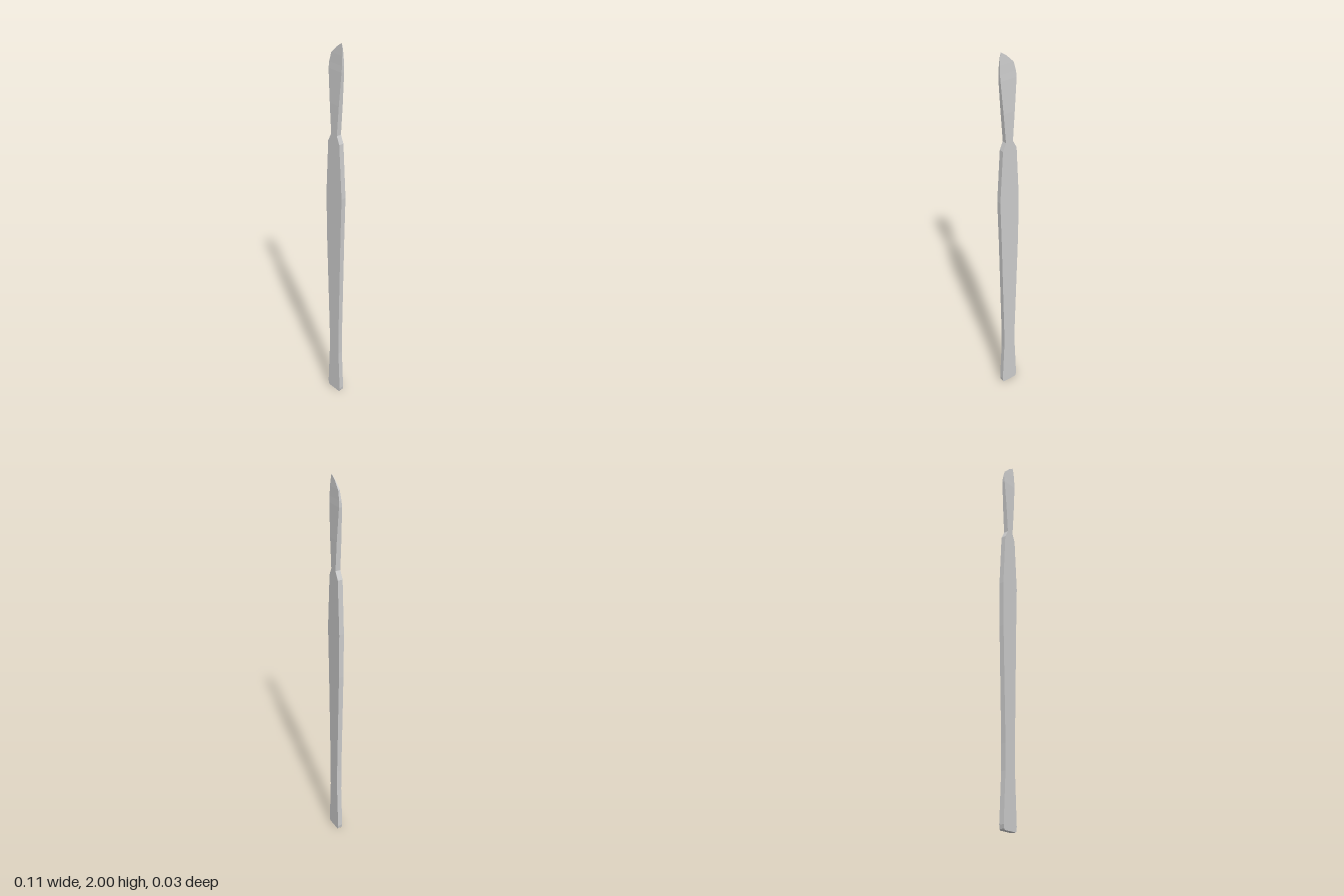
import * as THREE from 'three';

// Loft of rectangular sections: [y, left edge x, right edge x, half thickness]
function loft(name, rows, capBottom) {
  const pos = [], idx = [];
  for (const [y, x0, x1, t] of rows) pos.push(x0, y, t, x1, y, t, x1, y, -t, x0, y, -t);
  for (let i = 0; i < rows.length - 1; i++) {
    for (let j = 0; j < 4; j++) {
      const a = i * 4 + j, b = i * 4 + (j + 1) % 4;
      idx.push(a, b, b + 4, a, b + 4, a + 4);
    }
  }
  if (capBottom) idx.push(0, 3, 2, 0, 2, 1);
  const indexed = new THREE.BufferGeometry();
  indexed.setAttribute('position', new THREE.Float32BufferAttribute(pos, 3));
  indexed.setIndex(idx);
  const geo = indexed.toNonIndexed();
  geo.computeVertexNormals();
  const mesh = new THREE.Mesh(geo, new THREE.MeshStandardMaterial({ color: 0xcccccc, flatShading: true }));
  mesh.name = name;
  return mesh;
}

export function createModel() {
  const group = new THREE.Group();
  group.name = 'flatBladedTool';
  const T = 0.013;

  // Flat handle: flared foot, slim shaft, wide shoulder, narrow neck
  group.add(loft('handle', [
    [0, -0.04, 0.039, T],
    [0.006, -0.045, 0.043, T],
    [0.025, -0.048, 0.045, T],
    [0.27, -0.036, 0.034, T],
    [0.4, -0.036, 0.034, T],
    [1.0, -0.053, 0.047, T],
    [1.24, -0.055, 0.054, T],
    [1.52, -0.04, 0.037, T],
    [1.56, -0.019, 0.02, T],
  ], true));

  // Blade thinning to an off-centre point
  group.add(loft('blade', [
    [1.56, -0.019, 0.02, T],
    [1.71, -0.029, 0.032, 0.012],
    [1.87, -0.041, 0.045, 0.008],
    [1.9, -0.039, 0.046, 0.006],
    [1.945, -0.027, 0.045, 0.004],
    [1.98, 0.008, 0.042, 0.0015],
    [2.0, 0.037, 0.038, 0.0002],
  ], false));
  return group;
}
